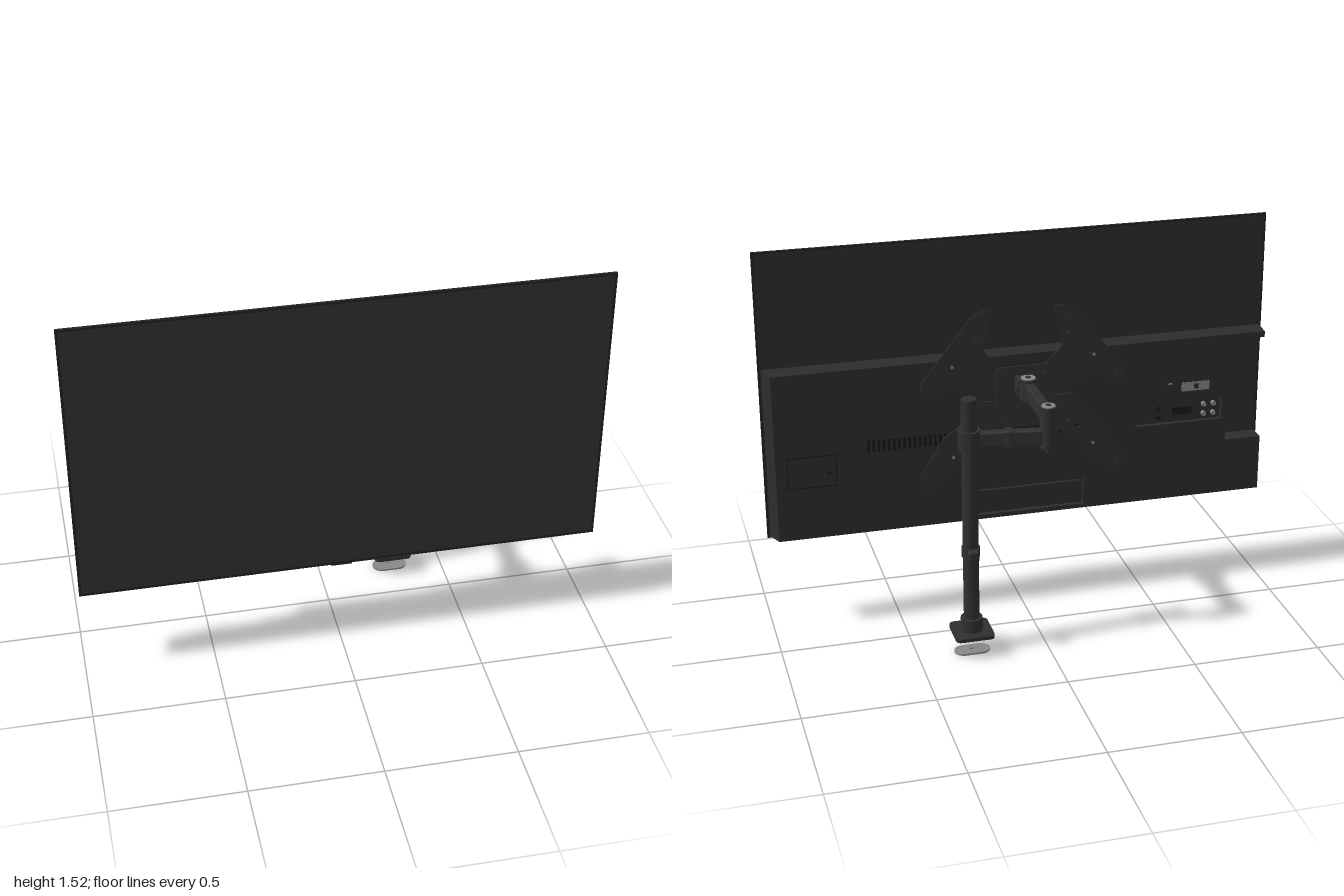
import * as THREE from 'three';
import { RoundedBoxGeometry } from 'three/addons/geometries/RoundedBoxGeometry.js';

const mat = (name, color, side = THREE.FrontSide) => {
  const m = new THREE.MeshStandardMaterial({ color, side });
  m.name = name;
  return m;
};

export function createModel() {
  const root = new THREE.Group();
  root.name = 'monitorOnArm';
  const screenMat = mat('screenGrey', 0x313131);
  const bezelMat = mat('bezelBlack', 0x222222);
  const shellMat = mat('shellGrey', 0x2d2d2d);
  const armMat = mat('armGrey', 0x303030);
  const darkMat = mat('recessBlack', 0x181818);
  const steelMat = mat('steel', 0x888888);

  // helpers: every box is given by its limits on each axis
  const add = (name, geo, m, parent = root) => {
    const mesh = new THREE.Mesh(geo, m);
    mesh.name = name;
    parent.add(mesh);
    return mesh;
  };
  const box = (name, x0, x1, y0, y1, z0, z1, m, r = 0) => {
    const s = [x1 - x0, y1 - y0, z1 - z0];
    const g = r ? new RoundedBoxGeometry(...s, 2, r) : new THREE.BoxGeometry(...s);
    return add(name, g.translate((x0 + x1) / 2, (y0 + y1) / 2, (z0 + z1) / 2), m);
  };
  const cyl = (name, x, z, r, y0, y1, m, n = 32) =>
    add(name, new THREE.CylinderGeometry(r, r, y1 - y0, n).translate(x, (y0 + y1) / 2, z), m);
  const stud = (name, x, y, r, z0, z1, m) =>
    add(name, new THREE.CylinderGeometry(r, r, z1 - z0, 16).rotateX(Math.PI / 2).translate(x, y, (z0 + z1) / 2), m);
  const polygon = (pts) => new THREE.Shape(pts.map((p) => new THREE.Vector2(...p)));
  const rect = (x0, x1, y0, y1) => polygon([[x0, y0], [x1, y0], [x1, y1], [x0, y1]]);
  const extrude = (shape, z0, z1) =>
    new THREE.ExtrudeGeometry(shape, { depth: z1 - z0, bevelEnabled: false, curveSegments: 8 }).translate(0, 0, z0);
  // polygon whose corners are rounded with cut length r
  const rounded = (pts, r) => {
    const s = new THREE.Shape();
    pts.forEach((p, i) => {
      const v = new THREE.Vector2(...p);
      const toward = (q) => {
        const d = new THREE.Vector2(...q).sub(v);
        return v.clone().addScaledVector(d.normalize(), r);
      };
      const a = toward(pts[(i + pts.length - 1) % pts.length]);
      const b = toward(pts[(i + 1) % pts.length]);
      if (i) s.lineTo(a.x, a.y); else s.moveTo(a.x, a.y);
      s.quadraticCurveTo(v.x, v.y, b.x, b.y);
    });
    s.closePath();
    return s;
  };
  const hole = (shape, x, y, r) => shape.holes.push(new THREE.Path().absarc(x, y, r, 0, Math.PI * 2, true));

  // thin display panel
  box('panel', -1, 1, 0.38, 1.53, 0.238, 0.249, bezelMat);
  box('screen', -0.99, 0.99, 0.392, 1.52, 0.247, 0.25, screenMat);
  box('panelBack', -0.992, 0.992, 0.388, 1.522, 0.2365, 0.24, shellMat);
  box('chinTab', -0.04, 0.04, 0.374, 0.385, 0.236, 0.248, bezelMat);

  // rear housing: solid core plus an outer skin with recesses, notched at the port side
  const outline = [[-0.99, 0.385], [0.99, 0.385], [0.99, 1.075], [-0.99, 1.075],
    [-0.99, 1.045], [-0.84, 1.045], [-0.84, 0.62], [-0.99, 0.62]];
  const taper = (geo) => {
    const p = geo.attributes.position;
    for (let i = 0; i < p.count; i++) {
      const d = 0.24 - p.getZ(i);
      if (p.getX(i) > 0.95) p.setX(i, p.getX(i) - d * 0.35);
      if (p.getY(i) > 1.07) p.setY(i, p.getY(i) - d * 0.08);
      if (p.getY(i) < 0.39) p.setY(i, p.getY(i) + d * 0.1);
    }
    geo.computeVertexNormals();
    return geo;
  };
  add('housingCore', taper(extrude(polygon(outline), 0.185, 0.24)), shellMat);
  const skin = polygon(outline);
  const recesses = [[-0.25, 0.22, 0.41, 0.525], [-0.82, -0.46, 0.715, 0.81]];
  recesses.forEach((r) => skin.holes.push(rect(...r)));
  add('housingSkin', taper(extrude(skin, 0.165, 0.185)), shellMat);
  box('standCover', -0.235, 0.205, 0.42, 0.51, 0.172, 0.186, shellMat);

  // cover outline, label and vents
  const frame = rect(0.73, 0.92, 0.605, 0.735);
  frame.holes.push(rect(0.734, 0.916, 0.609, 0.731));
  add('coverSeam', extrude(frame, 0.1635, 0.1655), darkMat);
  stud('coverScrew', 0.76, 0.66, 0.008, 0.162, 0.166, darkMat);
  box('ratingLabel', -0.765, -0.65, 0.848, 0.885, 0.163, 0.166, steelMat);
  box('labelPrint', -0.72, -0.7, 0.856, 0.877, 0.162, 0.164, shellMat);
  box('smallMark', -0.61, -0.59, 0.882, 0.888, 0.163, 0.166, steelMat);
  for (let i = 0; i < 46; i++) {
    const x = -0.3 + i * 0.02;
    box('ventSlot', x, x + 0.011, 0.728, 0.775, 0.1635, 0.166, darkMat);
  }
  for (let i = 0; i < 28; i++) {
    const x = -0.7 + i * 0.05;
    box('bottomVent', x, x + 0.03, 0.3855, 0.39, 0.19, 0.215, darkMat);
  }

  // sockets in the rear recess and on the notch wall
  for (const x of [-0.56, -0.75, -0.79]) {
    for (const y of [0.74, 0.78]) stud('roundSocket', x, y, 0.01, 0.172, 0.187, x > -0.6 ? darkMat : steelMat);
  }
  box('wideSocket', -0.7, -0.62, 0.745, 0.775, 0.178, 0.187, darkMat);
  for (let i = 0; i < 7; i++) {
    const y = 0.67 + i * 0.05;
    box('sideSocket', -0.844, -0.838, y, y + 0.032, 0.19, 0.215, darkMat);
  }

  // wall-plate: centre plate and four spread brackets
  const centre = rounded([[-0.11, 0.78], [0.11, 0.78], [0.11, 1.03], [-0.11, 1.03]], 0.03);
  for (const x of [-0.08, 0.08]) for (const y of [0.81, 1.0]) hole(centre, x, y, 0.008);
  add('centrePlate', extrude(centre, 0.14, 0.146), armMat);
  for (const s of [-1, 1]) {
    const side = (pts) => pts.map(([x, y]) => [x * s, y]);
    const upper = rounded(side([[0.12, 1.265], [0.19, 1.255], [0.41, 0.98], [0.385, 0.92], [0.3, 0.97],
      [0.17, 0.92], [0.06, 0.93], [0.06, 1.0], [0.16, 1.1]]), 0.03);
    hole(upper, 0.165 * s, 1.215, 0.01);
    hole(upper, 0.365 * s, 0.965, 0.01);
    const lower = rounded(side([[0.06, 0.89], [0.22, 0.9], [0.25, 0.8], [0.31, 0.77], [0.415, 0.6],
      [0.385, 0.54], [0.32, 0.575], [0.2, 0.72], [0.06, 0.79]]), 0.03);
    hole(lower, 0.375 * s, 0.59, 0.01);
    hole(lower, 0.22 * s, 0.76, 0.01);
    add('upperBracket', extrude(upper, 0.146, 0.152), armMat);
    add('lowerBracket', extrude(lower, 0.146, 0.152), armMat);
    for (const y of [1.05, 0.68]) {
      stud('spacer', 0.28 * s, y, 0.013, 0.15, 0.167, armMat);
      stud('mountScrew', 0.28 * s, y, 0.011, 0.141, 0.147, armMat);
      stud('screwTip', 0.28 * s, y, 0.006, 0.139, 0.142, steelMat);
    }
    for (const [x, y] of [[0.18, 1.14], [0.09, 0.95], [0.09, 0.855], [0.18, 0.78]]) {
      stud('bracketBolt', x * s, y, 0.01, 0.138, 0.158, armMat);
    }
  }

  // tilt head
  box('tiltHead', -0.022, 0.022, 0.925, 0.995, 0.07, 0.14, armMat, 0.006);
  for (const s of [-1, 1]) box('tiltCheek', 0.03 * s - 0.006, 0.03 * s + 0.006, 0.93, 0.995, 0.08, 0.141, armMat);
  add('tiltPin', new THREE.CylinderGeometry(0.015, 0.015, 0.082, 20).rotateZ(Math.PI / 2).translate(0, 0.962, 0.1), armMat);

  // swivel joints with steel caps
  const joint = (name, z, r, y0, y1) => {
    cyl(name, 0, z, r, y0, y1, armMat);
    cyl(name + 'Cap', 0, z, r * 0.85, y1, y1 + 0.004, steelMat);
    cyl(name + 'Bolt', 0, z, r * 0.35, y1, y1 + 0.007, armMat, 6);
  };
  joint('frontJoint', 0.075, 0.033, 0.92, 1.003);
  joint('elbowJoint', -0.215, 0.031, 0.84, 1.003);
  cyl('elbowScrew', 0, -0.212, 0.01, 0.82, 0.84, armMat);
  box('frontArm', -0.02, 0.02, 0.93, 0.993, -0.215, 0.07, armMat, 0.008);

  // rear arm from elbow to pole collar
  const px = 0.29, pz = -0.175;
  const rearArm = new THREE.Group();
  rearArm.name = 'rearArm';
  rearArm.position.set(px / 2, 0.885, (pz - 0.215) / 2);
  rearArm.rotation.y = -Math.atan2(pz + 0.215, px);
  add('rearArmBeam', new RoundedBoxGeometry(0.29, 0.062, 0.038, 2, 0.008), armMat, rearArm);
  add('armCableClip', new RoundedBoxGeometry(0.03, 0.07, 0.048, 2, 0.006), armMat, rearArm);
  root.add(rearArm);

  // pole, collars and cable clip
  cyl('pole', px, pz, 0.03, 0.1, 1.047, armMat);
  cyl('poleCollar', px, pz, 0.042, 0.848, 0.925, armMat);
  cyl('poleFoot', px, pz, 0.042, 0.1, 0.153, armMat);
  cyl('cableClipRing', px, pz, 0.035, 0.412, 0.45, armMat);
  box('cableClip', px - 0.02, px + 0.02, 0.412, 0.452, -0.237, -0.2, armMat, 0.006);

  // desk clamp: base plate and loose pressure disc below
  const square = (h) => rounded([[-h, -h], [h, -h], [h, h], [-h, h]], 0.022);
  add('basePlate', extrude(square(0.075), 0, 0.015).rotateX(-Math.PI / 2).translate(px, 0.085, pz), armMat);
  const pad = new THREE.Shape();
  pad.absarc(0.033, 0, 0.036, -Math.PI / 2, Math.PI / 2, false);
  pad.absarc(-0.033, 0, 0.036, Math.PI / 2, Math.PI * 1.5, false);
  hole(pad, 0, 0, 0.008);
  add('clampDisc', extrude(pad, 0, 0.007).rotateX(-Math.PI / 2).translate(px, 0.006, pz), steelMat);
  return root;
}
